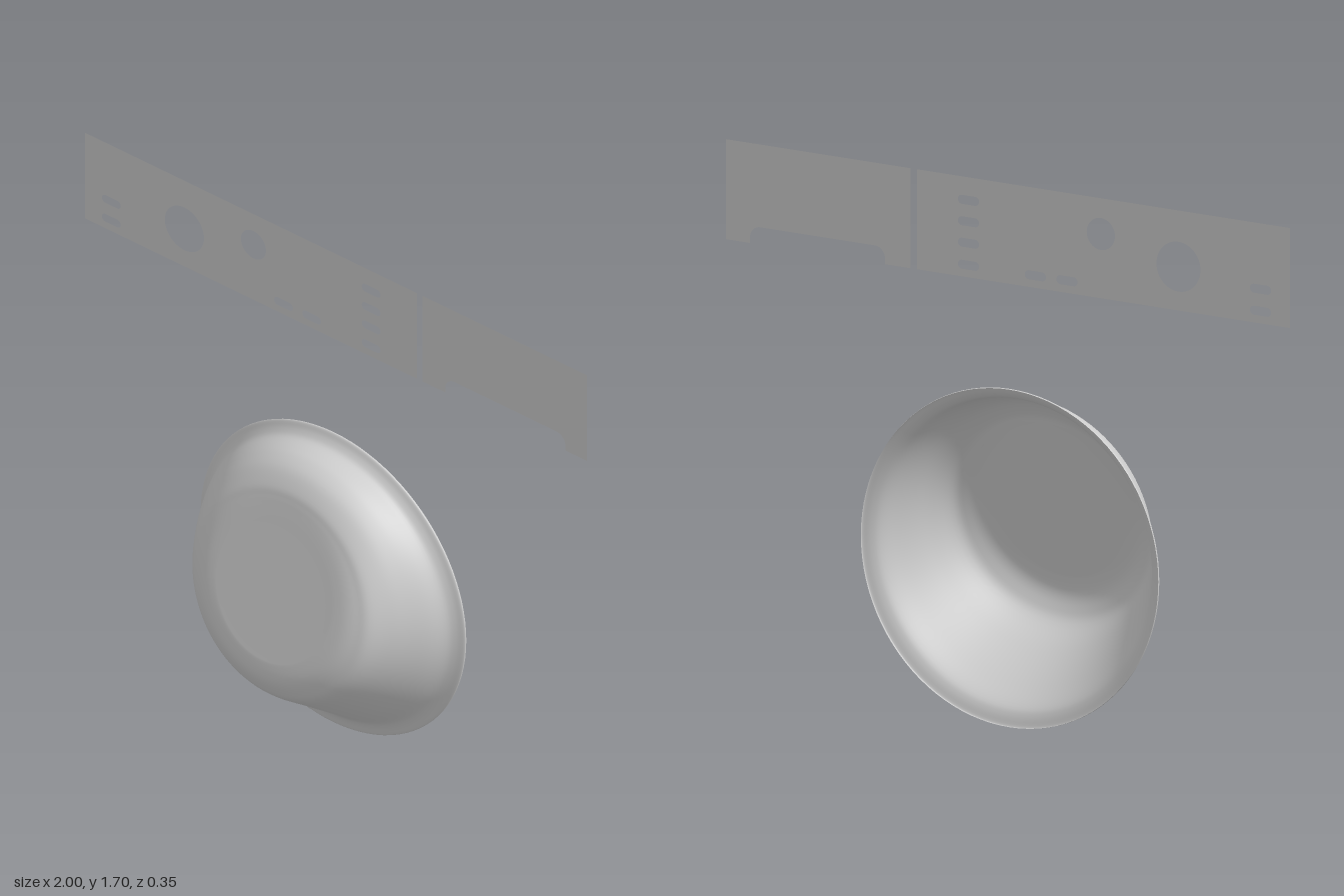
import * as THREE from 'three';

const material = new THREE.MeshStandardMaterial({ color: 0xcccccc, side: THREE.DoubleSide });
const PANEL_Z = -0.174;

function circleHole(x, y, r) {
  return new THREE.Path().absarc(x, y, r, 0, Math.PI * 2, true);
}

// horizontal slot with rounded ends
function slotHole(x, y, width = 0.075, height = 0.028) {
  const r = height / 2, d = width / 2 - r;
  const p = new THREE.Path();
  p.absarc(x + d, y, r, -Math.PI / 2, Math.PI / 2, false);
  p.absarc(x - d, y, r, Math.PI / 2, Math.PI * 1.5, false);
  p.closePath();
  return p;
}

function sheet(name, shape) {
  const mesh = new THREE.Mesh(new THREE.ShapeGeometry(shape, 24), material);
  mesh.name = name;
  mesh.position.z = PANEL_Z;
  return mesh;
}

// long fascia with knob holes and button slots
function controlPanel() {
  const s = new THREE.Shape();
  s.moveTo(-1, 1.39).lineTo(0.323, 1.39).lineTo(0.323, 1.703).lineTo(-1, 1.703).closePath();
  s.holes.push(circleHole(-0.604, 1.527, 0.078), circleHole(-0.329, 1.591, 0.05));
  const slots = [[-0.895, 1.497], [-0.895, 1.428], [-0.209, 1.428], [-0.097, 1.428]];
  for (const y of [1.631, 1.564, 1.497, 1.428]) slots.push([0.14, y]);
  for (const [x, y] of slots) s.holes.push(slotHole(x, y));
  return sheet('controlPanel', s);
}

// short fascia with a rounded notch in its lower edge
function drawerPanel() {
  const b = 1.39, n = 1.444, l = 0.436, r = 0.914, c = 0.036;
  const s = new THREE.Shape();
  s.moveTo(0.345, b).lineTo(l, b).lineTo(l, n - c);
  s.absarc(l + c, n - c, c, Math.PI, Math.PI / 2, true);
  s.absarc(r - c, n - c, c, Math.PI / 2, 0, true);
  s.lineTo(r, b).lineTo(1, b).lineTo(1, 1.703).lineTo(0.345, 1.703).closePath();
  return sheet('drawerPanel', s);
}

// slanted bowl: tilted elliptical rings lofted from the rim to the face centre
function doorBowl() {
  // top y, top z, bottom y, bottom z, half width
  const rings = [
    [1.056, -0.165, 0.0, -0.165, 0.527],
    [1.056, -0.158, 0.002, -0.158, 0.526],
    [1.036, -0.146, 0.032, -0.147, 0.503],
    [1.019, -0.125, 0.058, -0.128, 0.481],
    [1.015, -0.083, 0.102, -0.07, 0.454],
    [1.006, -0.047, 0.154, 0.0, 0.422],
    [0.98, -0.007, 0.2, 0.062, 0.39],
    [0.935, 0.025, 0.256, 0.137, 0.35],
    [0.905, 0.036, 0.297, 0.164, 0.315],
    [0.88, 0.043, 0.34, 0.177, 0.28],
    [0.85, 0.051, 0.387, 0.173, 0.24],
    [0.8, 0.064, 0.43, 0.162, 0.19],
    [0.63, 0.109, 0.63, 0.109, 0],
  ];
  const top = new THREE.CatmullRomCurve3(
    rings.map(r => new THREE.Vector3(0, r[0], r[1])), false, 'catmullrom');
  const bottom = new THREE.CatmullRomCurve3(
    rings.map(r => new THREE.Vector3(r[4], r[2], r[3])), false, 'catmullrom');
  const rows = (rings.length - 1) * 4, cols = 96;
  const positions = [], index = [];
  for (let i = 0; i <= rows; i++) {
    const a = top.getPoint(i / rows), b = bottom.getPoint(i / rows);
    for (let j = 0; j < cols; j++) {
      const t = (j / cols) * Math.PI * 2, k = (1 - Math.cos(t)) / 2;
      positions.push(b.x * Math.sin(t), a.y + (b.y - a.y) * k, a.z + (b.z - a.z) * k);
      if (i === rows) continue;
      const p = i * cols + j, q = i * cols + (j + 1) % cols;
      index.push(p, p + cols, q + cols, p, q + cols, q);
    }
  }
  const g = new THREE.BufferGeometry();
  g.setAttribute('position', new THREE.Float32BufferAttribute(positions, 3));
  g.setIndex(index);
  g.computeVertexNormals();
  const mesh = new THREE.Mesh(g, material);
  mesh.name = 'doorBowl';
  return mesh;
}

export function createModel() {
  const group = new THREE.Group();
  group.name = 'washerFront';
  group.add(controlPanel(), drawerPanel(), doorBowl());
  return group;
}
